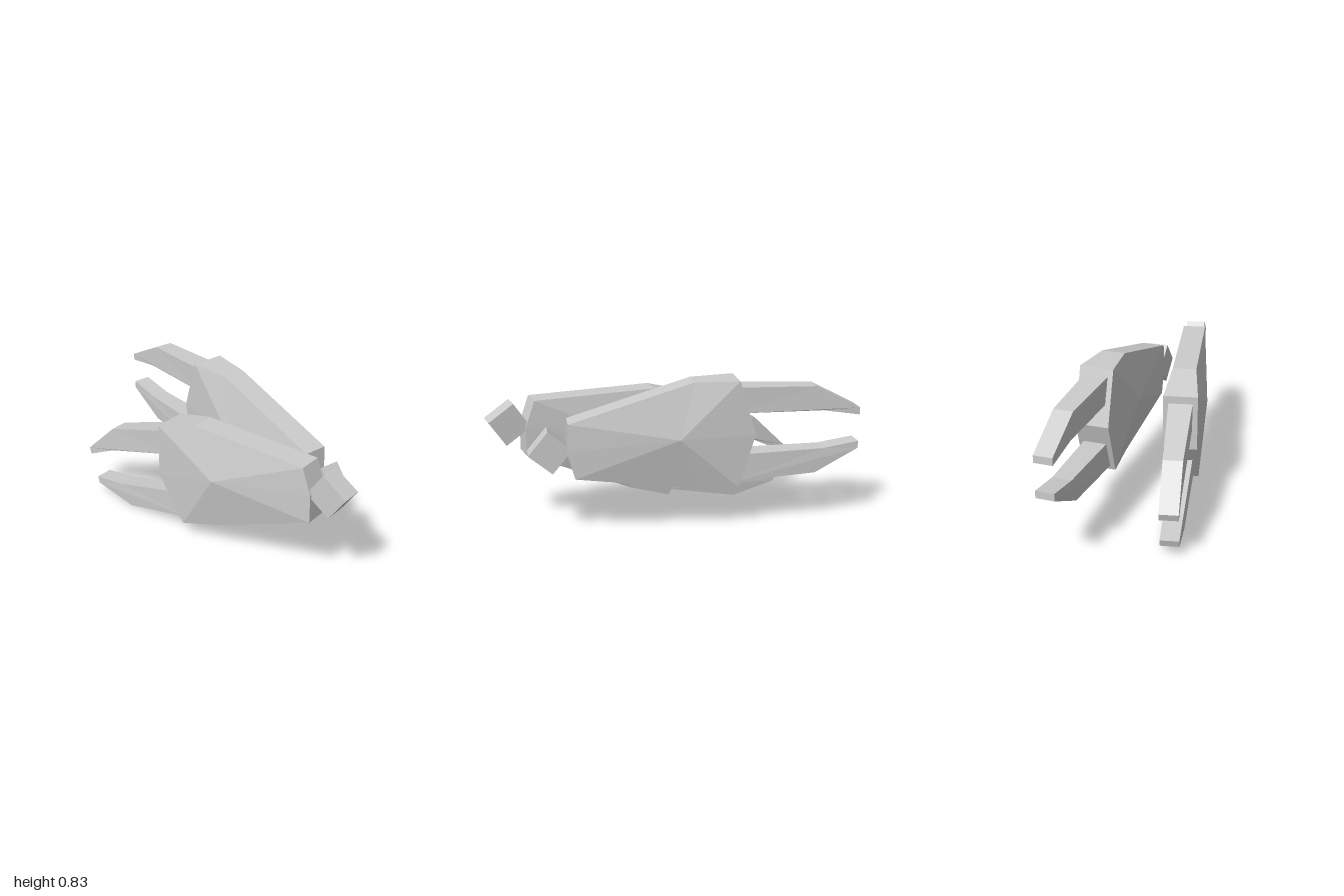
import * as THREE from 'three';

const material = new THREE.MeshStandardMaterial({ color: 0xcccccc, flatShading: true });

// Slab symmetric about x = 0 from a side outline of [z, y, halfWidth],
// running front to back along the bottom and returning along the top.
// With a hub point the two sides bulge out to it.
function slab(name, outline, hub) {
  const n = outline.length;
  const pos = [];
  const put = (side, ...pts) => pts.forEach(([z, y, w]) => pos.push(side * w, y, z));
  const tris = hub
    ? outline.map((p, i) => [hub, p, outline[(i + 1) % n]])
    : THREE.ShapeUtils.triangulateShape(outline.map(([z, y]) => new THREE.Vector2(-z, y)), [])
      .map((t) => t.map((i) => outline[i]));
  for (const [a, b, c] of tris) {
    put(1, a, b, c);
    put(-1, a, c, b);
  }
  // Rim joining the two sides
  outline.forEach((p, i) => {
    const q = outline[(i + 1) % n];
    put(1, p); put(-1, p, q);
    put(1, p); put(-1, q); put(1, q);
  });
  const geometry = new THREE.BufferGeometry();
  geometry.setAttribute('position', new THREE.Float32BufferAttribute(pos, 3));
  geometry.computeVertexNormals();
  const mesh = new THREE.Mesh(geometry, material);
  mesh.name = name;
  return mesh;
}

// One claw, facing +z, centred on the middle of its palm
function claw(name) {
  const group = new THREE.Group();
  group.name = name;

  // Wedge-shaped palm, thickest in the middle
  group.add(slab('palm', [
    [0.55, -0.2, 0.065], [-0.09, -0.29, 0.065], [-0.32, -0.29, 0.0925],
    [-0.41, 0, 0.0925], [-0.32, 0.295, 0.0925], [-0.08, 0.293, 0.065],
    [0.58, 0.1, 0.065], [0.59, -0.05, 0.065],
  ], [0, 0, 0.12]));

  // Two fingers bending toward each other
  group.add(slab('upperFinger', [
    [-0.3, 0.115, 0.066], [-0.79, 0.105, 0.052], [-1, 0.07, 0.05],
    [-1, 0.11, 0.05], [-0.75, 0.24, 0.052], [-0.3, 0.256, 0.066],
  ]));
  group.add(slab('lowerFinger', [
    [-0.3, -0.266, 0.066], [-0.76, -0.247, 0.052], [-1, -0.12, 0.05],
    [-1, -0.08, 0.05], [-0.8, -0.11, 0.052], [-0.3, -0.115, 0.066],
  ]));

  // Tilted wrist block at the front
  const wrist = new THREE.Mesh(new THREE.BoxGeometry(0.11, 0.163, 0.163), material);
  wrist.name = 'wrist';
  wrist.position.set(0, -0.053, 0.675);
  wrist.rotation.x = -0.7;
  group.add(wrist);
  return group;
}

export function createModel() {
  const model = new THREE.Group();
  model.name = 'clawPair';

  const left = claw('leftClaw');
  left.position.set(0.229, 0.53, 0);

  // The right claw is turned and pitched with its fingers down
  const right = claw('rightClaw');
  right.position.set(-0.09, 0.45, 0.235);
  right.rotation.set(-THREE.MathUtils.degToRad(16.3), THREE.MathUtils.degToRad(12.3), 0, 'YXZ');

  model.add(left, right);
  return model;
}
